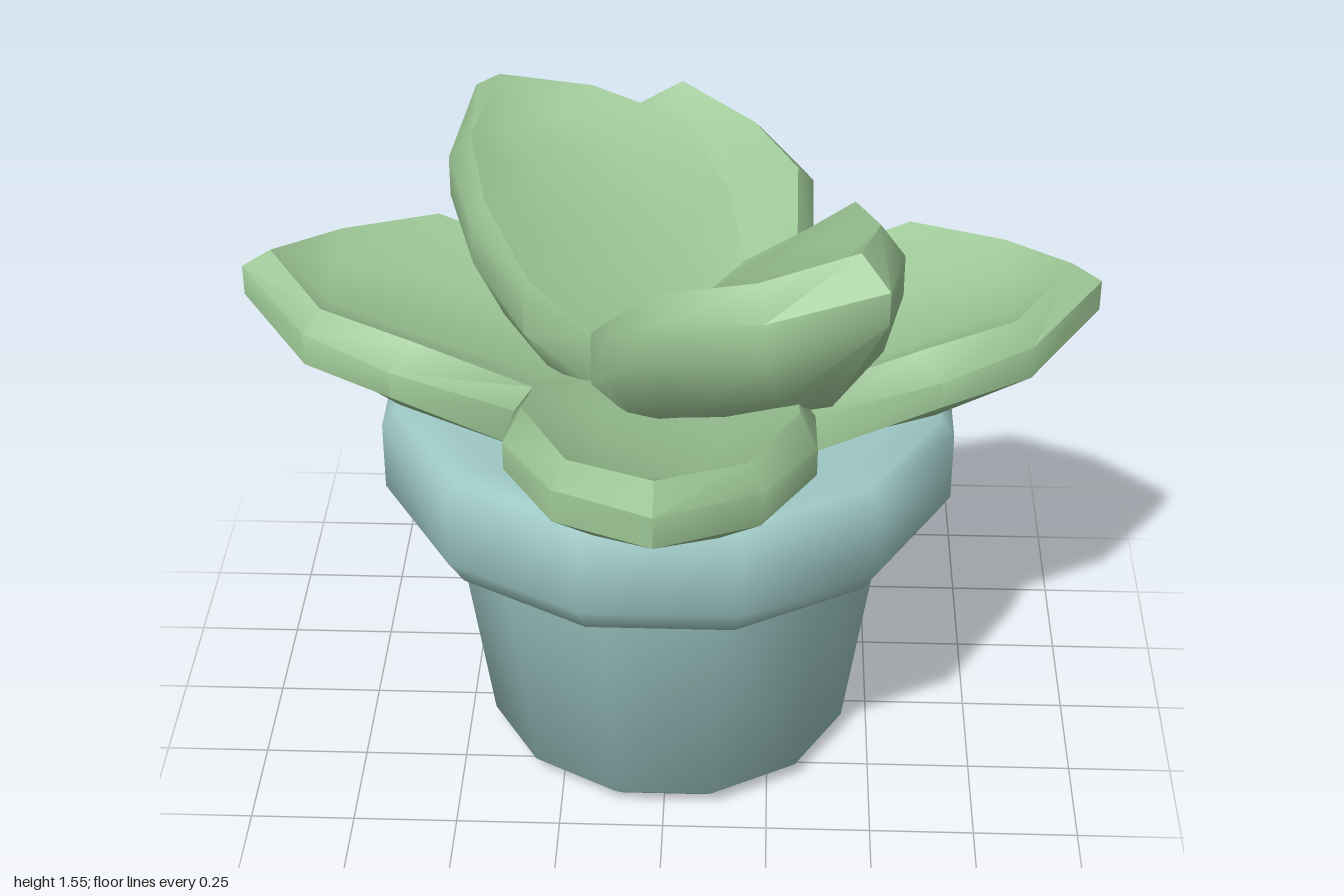
import * as THREE from 'three';
import { toCreasedNormals } from 'three/addons/utils/BufferGeometryUtils.js';

// Leaf pointing to +z, lofted through stations:
// [edge z, half width, edge low y, edge high y, rim z, rim half width, rim y, hollow y, keel y]
// belly: how far out the underside stays full, as a share of the half width
function leafGeometry(stations, belly) {
  const pos = [];
  const index = [];
  for (const [z, w, low, high, rz, rw, ry, hollow, keel] of stations) {
    const side = [
      [rw * 0.45, hollow, rz],
      [rw, ry, rz],
      [w, high, z],
      [w, low, z],
      [w * belly, low + (keel - low) * 0.62, z],
    ];
    const mirrored = side.map(([x, y, d]) => [-x, y, d]).reverse();
    pos.push(...[...side, [0, keel, z], ...mirrored].flat());
  }
  const n = 11;
  for (let i = 0; i < stations.length - 1; i++) {
    for (let j = 0; j < n; j++) {
      const a = i * n + j;
      const b = i * n + ((j + 1) % n);
      index.push(a, a + n, b + n, a, b + n, b);
    }
  }
  const g = new THREE.BufferGeometry();
  g.setAttribute('position', new THREE.Float32BufferAttribute(pos, 3));
  g.setIndex(index);
  return toCreasedNormals(g, 0.8);
}

export function createModel() {
  const model = new THREE.Group();
  model.name = 'pottedSucculent';

  const leafGreen = new THREE.MeshStandardMaterial({ color: 0x9dc796 });
  leafGreen.name = 'leafGreen';
  const potBlue = new THREE.MeshStandardMaterial({ color: 0x9dc7c4 });
  potBlue.name = 'potBlue';

  const add = (name, geometry, material, turn = 0) => {
    const mesh = new THREE.Mesh(geometry, material);
    mesh.name = name;
    mesh.rotation.y = turn;
    model.add(mesh);
  };
  // Twelve-sided lathe with flats facing the axes; profile radii are across the flats
  const halfSide = Math.PI / 12;
  const lathe = (profile) => toCreasedNormals(new THREE.LatheGeometry(
    profile.map(([x, y]) => new THREE.Vector2(x / Math.cos(halfSide), y)), 12, halfSide), 0.9);

  // Tapered pot with a softened foot
  add('potBody', lathe([[0, 0], [0.38, 0], [0.435, 0.05], [0.52, 0.67]]), potBlue);

  // Thick rounded rim, closed on top
  add('potRim', lathe([
    [0.45, 0.66], [0.55, 0.66], [0.625, 0.69], [0.668, 0.76],
    [0.668, 0.93], [0.635, 0.972], [0.56, 0.975], [0, 0.975],
  ]), potBlue);

  // Four spreading lower leaves, meeting on the diagonals
  const lower = leafGeometry([
    [0, 0, 0.86, 0.97, 0, 0, 0.98, 0.98, 0.8],
    [0.34, 0.34, 0.985, 1.08, 0.3, 0.3, 1.12, 1.05, 0.87],
    [0.62, 0.34, 1.11, 1.175, 0.57, 0.3, 1.235, 1.15, 0.94],
    [0.83, 0.22, 1.12, 1.2, 0.79, 0.19, 1.25, 1.21, 1.065],
    [1.0, 0, 1.175, 1.25, 0.93, 0, 1.295, 1.295, 1.175],
  ], 0.6);
  for (let i = 0; i < 4; i++) add('lowerLeaf' + (i + 1), lower, leafGreen, i * Math.PI / 2);

  // Two upright cupped leaves on the diagonal, back to back at the centre
  const upper = leafGeometry([
    [0, 0.25, 1.05, 1.17, 0, 0.245, 1.19, 1.15, 0.88],
    [0.14, 0.33, 1.16, 1.27, 0.13, 0.32, 1.3, 1.26, 0.93],
    [0.31, 0.335, 1.28, 1.38, 0.29, 0.31, 1.44, 1.38, 1.0],
    [0.53, 0.22, 1.33, 1.43, 0.48, 0.19, 1.5, 1.46, 1.13],
    [0.69, 0, 1.41, 1.49, 0.6, 0, 1.55, 1.55, 1.41],
  ], 0.74);
  for (let i = 0; i < 2; i++) add('upperLeaf' + (i + 1), upper, leafGreen, Math.PI / 4 + i * Math.PI);

  return model;
}
